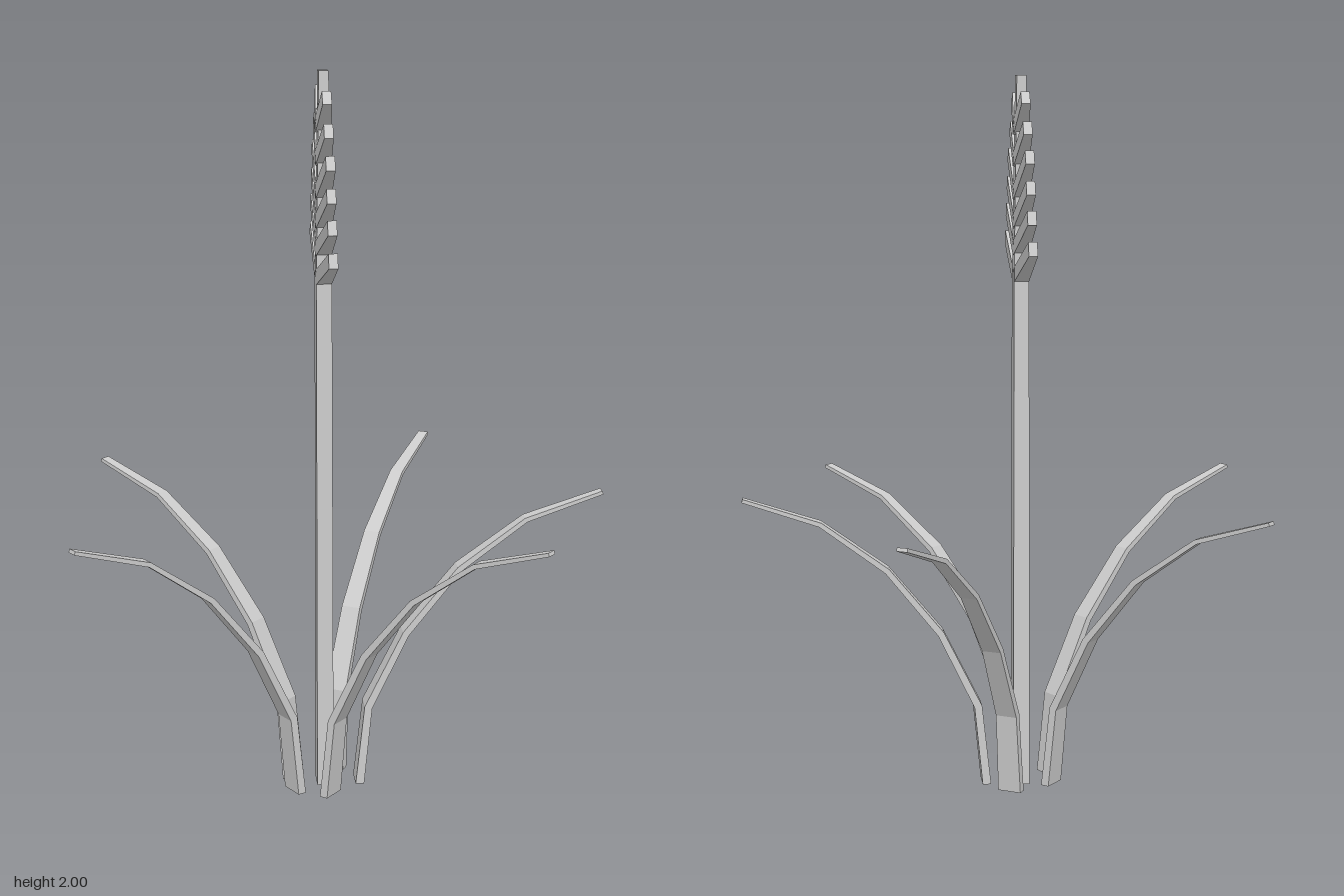
import * as THREE from 'three';

const V = (x, y, z) => new THREE.Vector3(x, y, z);
const material = new THREE.MeshStandardMaterial({ color: 0xcccccc, flatShading: true });

// Rectangular cross-section; u x v points along the direction of travel
function section(center, u, v, du, dv) {
  return [[-1, -1], [1, -1], [1, 1], [-1, 1]].map(([a, b]) =>
    center.clone().addScaledVector(u, a * du / 2).addScaledVector(v, b * dv / 2));
}

// Closed, hard-edged solid through a row of four-cornered sections
function loft(name, sections) {
  const pos = [];
  const quad = (a, b, c, d) => [a, b, c, a, c, d].forEach(p => pos.push(p.x, p.y, p.z));
  for (let i = 0; i < sections.length - 1; i++) {
    const s = sections[i], e = sections[i + 1];
    for (let j = 0; j < 4; j++) {
      const k = (j + 1) % 4;
      quad(s[j], s[k], e[k], e[j]);
    }
  }
  const s = sections[0];
  quad(s[0], s[3], s[2], s[1]);
  quad(...sections[sections.length - 1]);
  const geometry = new THREE.BufferGeometry();
  geometry.setAttribute('position', new THREE.Float32BufferAttribute(pos, 3));
  geometry.computeVertexNormals();
  const mesh = new THREE.Mesh(geometry, material);
  mesh.name = name;
  return mesh;
}

const X = V(1, 0, 0), Z = V(0, 0, 1);

// Arching blade growing outward along local +x: [reach, height, thickness, width]
const bladeProfile = [
  [0.011, 0, 0.024, 0.068],
  [0.035, 0.23, 0.022, 0.062],
  [0.14, 0.445, 0.019, 0.056],
  [0.29, 0.63, 0.016, 0.048],
  [0.475, 0.766, 0.013, 0.039],
  [0.69, 0.838, 0.010, 0.030],
];

function makeLeaf() {
  const n = bladeProfile.length;
  const sections = bladeProfile.map(([r, y, thick, width], i) => {
    const a = bladeProfile[Math.max(i - 1, 0)], b = bladeProfile[Math.min(i + 1, n - 1)];
    const normal = i === 0 ? V(-1, 0, 0) : V(-(b[1] - a[1]), b[0] - a[0], 0).normalize();
    return section(V(r, y, 0), normal, Z, thick, width);
  });
  return loft('leaf', sections);
}

export function createModel() {
  const model = new THREE.Group();
  model.name = 'plant';

  // Flower stalk: [height, depth, width]
  const flower = new THREE.Group();
  flower.name = 'flowerStalk';
  flower.position.set(-0.047, 0, 0.069);
  const stemLevels = [[0, 0.075, 0.046], [1.44, 0.052, 0.042], [2, 0.04, 0.026]];
  flower.add(loft('stem', stemLevels.map(([y, d, w]) => section(V(0, y, 0), Z, X, d, w))));

  // Paired side spikes: [root height, tip offset, tip height]
  const spikes = [
    [1.453, 0.281, 1.546], [1.531, 0.256, 1.626], [1.604, 0.231, 1.703],
    [1.683, 0.208, 1.783], [1.772, 0.159, 1.859], [1.857, 0.111, 1.939],
  ];
  for (const [rootY, tipZ, tipY] of spikes) {
    for (const side of [1, -1]) {
      const root = V(0, rootY, 0), tip = V(0, tipY, side * tipZ);
      const up = tip.clone().sub(root).normalize().cross(X);
      flower.add(loft('spike', [
        section(root, X, up, 0.042, 0.04),
        section(tip, X, up, 0.024, 0.039),
      ]));
    }
  }
  model.add(flower);

  // Ring of leaves: base x, z and tip x, z
  const leaves = [
    [0.04, 0.076, 0.73, 0.076],
    [-0.047, 0.157, 0.467, 0.592],
    [-0.125, 0.124, -0.725, 0.473],
    [-0.125, 0.045, -0.655, -0.4],
    [-0.017, -0.005, 0.325, -0.604],
  ];
  for (const [x, z, tx, tz] of leaves) {
    const leaf = makeLeaf();
    leaf.position.set(x, 0, z);
    leaf.rotation.y = -Math.atan2(tz - z, tx - x);
    model.add(leaf);
  }
  return model;
}
